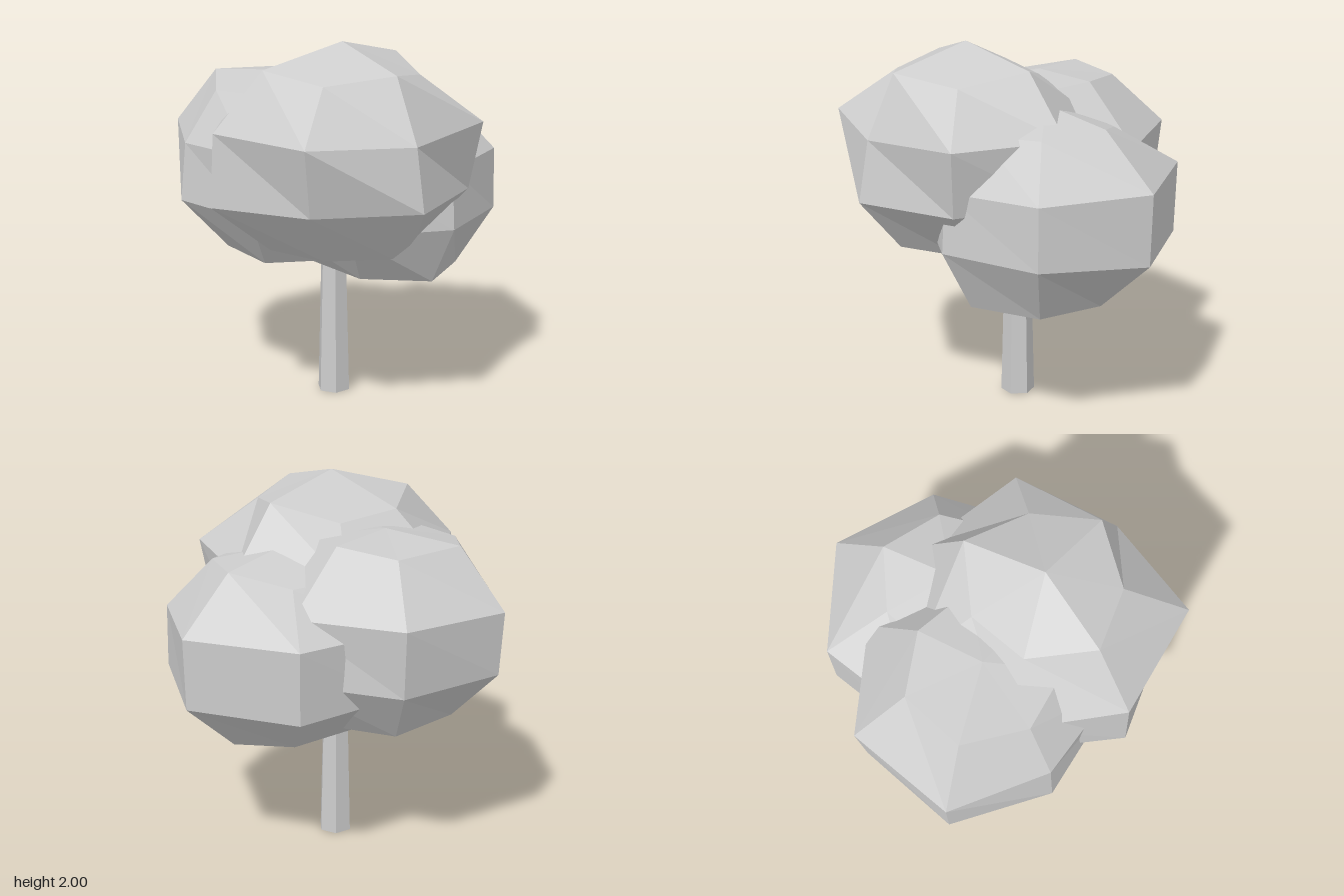
import * as THREE from 'three';

const SIDES = 7;

// Faceted foliage clump: two poles joined by four uneven seven-sided rings.
// Each ring holds a height (or one per corner) and a radius for each corner.
function makeClump(name, [cx, cz], topY, bottomY, rings, material) {
  const loops = [
    { y: topY, r: 0 },
    ...rings,
    { y: bottomY, r: 0 },
  ].map(({ y, r }) => Array.from({ length: SIDES }, (_, k) => {
    const a = -Math.PI / 2 + (k / SIDES) * Math.PI * 2;
    const radius = r ? r[k] : 0;
    const height = Array.isArray(y) ? y[k] : y;
    return [cx + radius * Math.cos(a), height, cz + radius * Math.sin(a)];
  }));

  const positions = [];
  for (let i = 0; i < loops.length - 1; i++) {
    for (let k = 0; k < SIDES; k++) {
      const n = (k + 1) % SIDES;
      const a = loops[i][k], b = loops[i][n];
      const c = loops[i + 1][k], d = loops[i + 1][n];
      if (i > 0) positions.push(...a, ...b, ...c);
      if (i < loops.length - 2) positions.push(...b, ...d, ...c);
    }
  }
  const geometry = new THREE.BufferGeometry();
  geometry.setAttribute('position', new THREE.Float32BufferAttribute(positions, 3));
  geometry.computeVertexNormals(); // unshared corners give flat facets
  const mesh = new THREE.Mesh(geometry, material);
  mesh.name = name;
  return mesh;
}

export function createModel() {
  const tree = new THREE.Group();
  tree.name = 'tree';
  const grey = new THREE.MeshStandardMaterial({ color: 0xcccccc });
  grey.name = 'light grey';

  // Slightly tapered six-sided trunk
  const trunk = new THREE.Mesh(
    new THREE.CylinderGeometry(0.068, 0.093, 1.0, 6).toNonIndexed(), grey);
  trunk.geometry.computeVertexNormals();
  trunk.name = 'trunk';
  trunk.position.set(-0.04, 0.5, -0.047);
  trunk.rotation.y = -0.07;
  tree.add(trunk);

  // Tall clump at the front
  tree.add(makeClump('frontFoliage', [-0.05, 0.23], 2.0, 0.9, [
    { y: [1.81, 1.9, 1.83, 1.88, 1.83, 1.88, 1.84], r: [0.39, 0.45, 0.40, 0.44, 0.39, 0.44, 0.40] },
    { y: [1.57, 1.58, 1.585, 1.55, 1.585, 1.58, 1.58], r: [0.70, 0.70, 0.73, 0.60, 0.74, 0.71, 0.69] },
    { y: [1.23, 1.23, 1.23, 1.225, 1.23, 1.2, 1.22], r: [0.66, 0.66, 0.66, 0.66, 0.65, 0.73, 0.69] },
    { y: 0.94, r: [0.41, 0.41, 0.39, 0.42, 0.39, 0.41, 0.41] },
  ], grey));

  // Low clump on the left
  tree.add(makeClump('leftFoliage', [0.23, -0.15], 1.71, 0.665, [
    { y: [1.58, 1.645, 1.615, 1.6, 1.6, 1.6, 1.59], r: [0.36, 0.40, 0.39, 0.40, 0.41, 0.41, 0.39] },
    { y: [1.375, 1.37, 1.35, 1.34, 1.34, 1.34, 1.36], r: [0.71, 0.71, 0.64, 0.62, 0.65, 0.68, 0.68] },
    { y: [0.99, 0.99, 1.015, 1.02, 1.02, 1.02, 1.0], r: [0.70, 0.70, 0.645, 0.64, 0.66, 0.68, 0.68] },
    { y: [0.735, 0.7, 0.695, 0.695, 0.72, 0.76, 0.76], r: [0.39, 0.39, 0.44, 0.47, 0.42, 0.42, 0.41] },
  ], grey));

  // Middle clump at the back right
  tree.add(makeClump('rightFoliage', [-0.28, -0.2], 1.79, 0.745, [
    { y: [1.745, 1.77, 1.74, 1.73, 1.72, 1.71, 1.765], r: [0.41, 0.36, 0.40, 0.40, 0.40, 0.39, 0.43] },
    { y: [1.475, 1.46, 1.46, 1.46, 1.45, 1.44, 1.46], r: [0.70, 0.67, 0.68, 0.68, 0.66, 0.57, 0.69] },
    { y: [1.11, 1.12, 1.12, 1.12, 1.12, 1.13, 1.12], r: [0.66, 0.69, 0.66, 0.66, 0.64, 0.60, 0.67] },
    { y: [0.81, 0.81, 0.82, 0.82, 0.82, 0.845, 0.84], r: [0.43, 0.42, 0.42, 0.42, 0.40, 0.34, 0.41] },
  ], grey));

  return tree;
}
